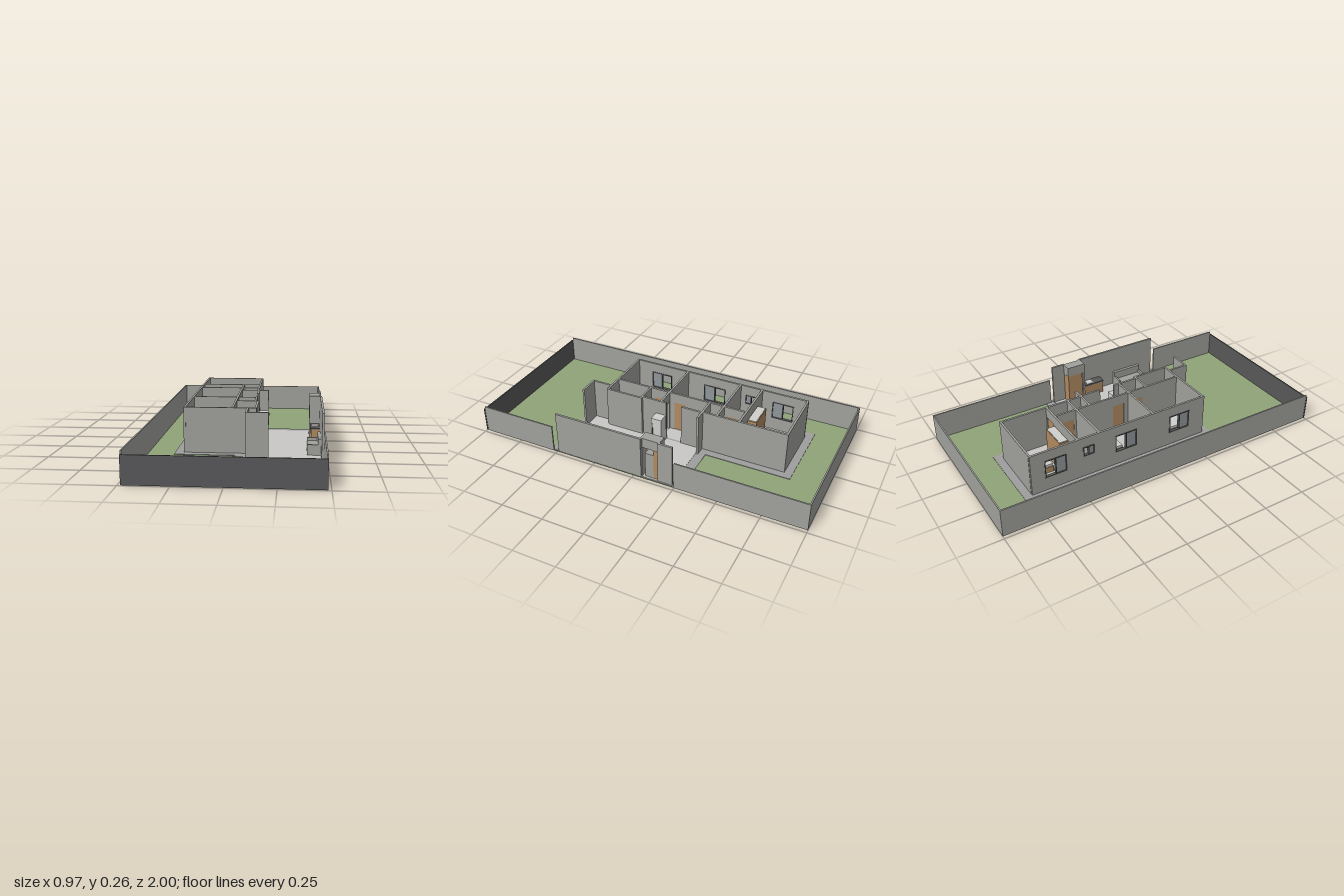
import * as THREE from 'three';

const mat = (name, color) => {
  const m = new THREE.MeshStandardMaterial({ color });
  m.name = name;
  return m;
};

export function createModel() {
  const root = new THREE.Group();
  root.name = 'housePlan';
  const M = {
    wall: mat('wallGrey', 0xa0a09c),
    dark: mat('charcoal', 0x58585a),
    grass: mat('grassGreen', 0x8fa378),
    path: mat('pavingGrey', 0x9e9e9e),
    floor: mat('paleTile', 0xc9c8c6),
    wood: mat('wood', 0xb08a60),
    white: mat('offWhite', 0xcfcfcd),
    glass: mat('glass', 0x8f9699),
  };
  const H = 0.26, T = 0.012, F = 0.01;

  // Box given by its limits on each axis
  const box = (name, m, x0, x1, y0, y1, z0, z1) => {
    const mesh = new THREE.Mesh(new THREE.BoxGeometry(x1 - x0, y1 - y0, z1 - z0), m);
    mesh.position.set((x0 + x1) / 2, (y0 + y1) / 2, (z0 + z1) / 2);
    mesh.name = name;
    root.add(mesh);
    return mesh;
  };

  // Flat slab from plan points [x, z], with an optional hole
  const slab = (name, m, pts, y0, y1, hole) => {
    const v = (p) => p.map(([x, z]) => new THREE.Vector2(x, -z));
    const s = new THREE.Shape(v(pts));
    if (hole) s.holes.push(new THREE.Path(v(hole)));
    const g = new THREE.ExtrudeGeometry(s, { depth: y1 - y0, bevelEnabled: false });
    g.rotateX(-Math.PI / 2);
    const mesh = new THREE.Mesh(g, m);
    mesh.position.y = y0;
    mesh.name = name;
    root.add(mesh);
  };

  // Straight wall along 'x' or 'z' at c, from a to b, with openings [from, to, sill, head]
  const wall = (name, axis, c, a, b, openings = [], h = H, m = M.wall, t = T) => {
    const piece = (p, q, y0, y1) => {
      if (q - p < 1e-4 || y1 - y0 < 1e-4) return;
      if (axis === 'x') box(name, m, p, q, y0, y1, c - t / 2, c + t / 2);
      else box(name, m, c - t / 2, c + t / 2, y0, y1, p, q);
    };
    let at = a;
    for (const [p, q, sill, head] of openings) {
      piece(at, p, 0.003, h);
      piece(p, q, 0.003, sill);
      piece(p, q, head, h);
      at = q;
    }
    piece(at, b, 0.003, h);
  };

  // Ground, paving and floor
  const floorPts = [[-0.28, -0.74], [0.09, -0.74], [0.09, -0.23], [0.476, -0.23],
    [0.476, 0.485], [0.065, 0.485], [0.065, 0.365], [-0.28, 0.365]];
  const pathPts = [[-0.33, -0.79], [0.14, -0.79], [0.14, -0.285], [0.478, -0.285],
    [0.478, 0.535], [0.005, 0.535], [0.005, 0.415], [-0.33, 0.415]];
  box('lawn', M.grass, -0.48, 0.48, 0.001, 0.005, -0.995, 0.995);
  slab('paving', M.path, pathPts, 0, 0.008, floorPts);
  slab('tileFloor', M.floor, floorPts, 0.005, F);

  // Boundary walls
  wall('boundaryLeftOfPlan', 'z', -0.479, -1, 0.99, [], 0.168, M.wall, 0.008);
  wall('boundaryBack', 'x', -0.996, -0.483, 0.483, [], 0.168, M.wall, 0.008);
  wall('boundaryRearSide', 'z', 0.479, -1, -0.25, [], 0.168, M.wall, 0.008);
  wall('boundaryFrontSide', 'z', 0.479, 0.52, 0.99, [], 0.168, M.wall, 0.008);
  wall('boundaryFront', 'x', 0.996, -0.483, 0.483, [], 0.15, M.dark, 0.008);

  // Outer house walls
  const windows = [[-0.66, -0.53, 0.09, 0.2], [-0.43, -0.36, 0.14, 0.2],
    [-0.23, -0.09, 0.09, 0.2], [0.13, 0.265, 0.09, 0.2]];
  wall('windowWall', 'z', -0.276, -0.742, 0.37, windows);
  wall('backWall', 'x', -0.738, -0.27, 0.096);
  wall('bedroomSideWall', 'z', 0.09, -0.732, -0.235);
  wall('frontWall', 'x', 0.362, -0.27, 0.116);
  wall('entryWall', 'z', 0.068, 0.368, 0.49);
  wall('livingFrontWall', 'x', 0.485, 0.074, 0.187);
  wall('livingSideWall', 'z', 0.472, -0.048, 0.49);
  wall('kitchenCornerWall', 'z', 0.468, -0.235, -0.148);
  wall('livingBackWall', 'x', -0.238, -0.009, 0.155);

  // Window frames, mullions and sliding panes
  for (const [a, b, s, h] of windows) {
    const x0 = -0.285, x1 = -0.267, e = 0.005, mid = (a + b) / 2;
    for (const z of [a, mid - e / 2, b - e]) box('windowUpright', M.dark, x0, x1, s, h, z, z + e);
    for (const y of [s, h - e]) box('windowRail', M.dark, x0, x1, y, y + e, a, b);
    box('windowPane', M.glass, -0.278, -0.274, s + e, h - e, mid, b - e);
  }

  // Inner walls
  const door = (p) => [p, p + 0.075, F, 0.2];
  wall('hallWall', 'z', 0.096, -0.232, 0.14, [[-0.11, -0.015, F, H]]);
  wall('bathroomSideWall', 'z', 0.112, 0.14, 0.356);
  wall('bathroomEndWall', 'x', 0.142, -0.009, 0.118);
  wall('bathroomDividingWall', 'x', -0.46, -0.27, 0.084, [door(0)]);
  wall('bedroomDividingWall', 'x', -0.325, -0.27, 0.084, [door(0)]);
  wall('frontBedroomWall', 'x', 0.02, -0.27, 0.09, [door(0)]);
  wall('corridorWall', 'z', -0.015, -0.454, 0.356, [door(-0.42), door(-0.06 - 0.03), door(0.04)]);

  // Wooden door leaves
  for (const z of [-0.42, -0.09, 0.04]) box('doorLeaf', M.wood, -0.018, -0.012, F, 0.199, z, z + 0.075);
  box('doorLeaf', M.wood, 0.001, 0.074, F, 0.199, -0.463, -0.457);

  // Beds: coloured base with a pale mattress and pillows
  const bed = (m, x0, x1, z0, z1, headAtBack) => {
    box('bedBase', m, x0, x1, F, 0.045, z0, z1);
    box('mattress', M.white, x0 + 0.004, x1 - 0.004, 0.045, 0.06, z0 + 0.004, z1 - 0.004);
    const p = headAtBack ? z0 + 0.01 : z1 - 0.04;
    for (const x of [x0 + 0.012, x1 - 0.057]) box('pillow', M.white, x, x + 0.045, 0.06, 0.067, p, p + 0.03);
  };
  bed(M.wood, -0.157, -0.033, -0.725, -0.55, true);
  bed(M.dark, -0.21, -0.09, -0.31, -0.135, true);
  bed(M.dark, -0.21, -0.09, 0.178, 0.348, false);

  // Wardrobe
  box('wardrobe', M.wood, -0.185, -0.022, F, 0.2, -0.522, -0.468);
  box('wardrobeTop', M.white, -0.181, -0.026, 0.2, 0.203, -0.518, -0.472);

  // Bathroom vanities and toilet
  box('vanity', M.dark, -0.18, -0.125, F, 0.09, -0.452, -0.412);
  box('vanity', M.dark, 0.02, 0.075, F, 0.09, 0.31, 0.352);
  box('toiletBowl', M.white, 0.005, 0.05, F, 0.045, 0.242, 0.275);
  box('toiletTank', M.white, -0.008, 0.007, F, 0.085, 0.242, 0.275);

  // Refrigerator
  box('refrigerator', M.white, 0.103, 0.165, F, 0.175, -0.013, 0.05);
  box('refrigeratorHandle', M.dark, 0.165, 0.168, 0.06, 0.14, 0.04, 0.044);

  // Kitchen cupboards, counter, sink and stove
  box('tallCupboard', M.wood, 0.41, 0.464, F, 0.197, -0.155, -0.12);
  box('lowCupboard', M.wall, 0.41, 0.464, F, 0.165, -0.12, -0.068);
  box('cupboardFront', M.wood, 0.405, 0.41, F, 0.2, -0.155, -0.06);
  box('overheadCupboard', M.wall, 0.405, 0.466, 0.2, H, -0.157, -0.052);
  box('kitchenPartition', M.wall, 0.405, 0.472, F, H, -0.054, -0.042);
  box('counterBase', M.wood, 0.415, 0.465, F, 0.088, -0.04, 0.092);
  box('counterTop', M.dark, 0.41, 0.466, 0.088, 0.096, -0.042, 0.095);
  box('sink', M.white, 0.418, 0.46, 0.096, 0.098, -0.015, 0.025);

  // Sofa against the living room wall
  box('sofaSeat', M.wall, 0.39, 0.448, F, 0.05, 0.2, 0.388);
  box('sofaBack', M.wall, 0.448, 0.466, F, 0.1, 0.2, 0.388);
  for (const z of [0.2, 0.376]) box('sofaArm', M.wall, 0.39, 0.448, 0.05, 0.068, z, z + 0.012);

  return root;
}
